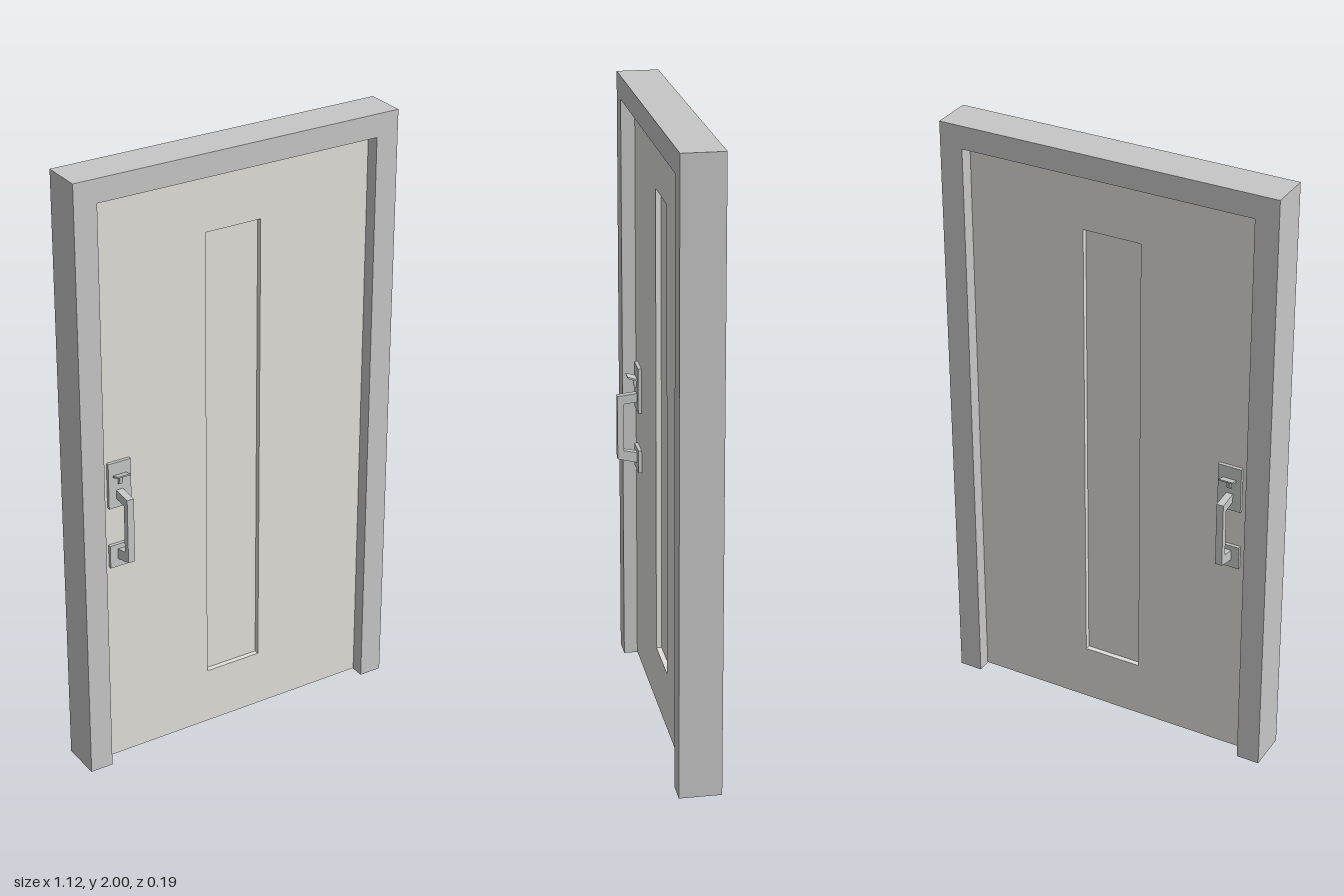
import * as THREE from 'three';

const frameMat = new THREE.MeshStandardMaterial({ name: 'frame grey', color: 0xc7c7c7 });
const doorMat = new THREE.MeshStandardMaterial({ name: 'door warm grey', color: 0xe0dfd8 });
const metalMat = new THREE.MeshStandardMaterial({ name: 'handle metal', color: 0xc6c8c8 });

const FRAME_HALF = 0.067; // half depth of the frame
const DOOR_HALF = 0.022;  // half thickness of the leaf
const HANDLE_X = -0.412;

const shapeOf = (pts) => new THREE.Shape(pts.map(([x, y]) => new THREE.Vector2(x, y)));

// Extrude a shape, centred in depth
function extrude(shape, depth) {
  return new THREE.ExtrudeGeometry(shape, { depth, bevelEnabled: false }).translate(0, 0, -depth / 2);
}

function add(parent, name, geometry, material) {
  const mesh = new THREE.Mesh(geometry, material);
  mesh.name = name;
  parent.add(mesh);
}

// Box given by its limits
function box(x0, x1, y0, y1, z0, z1) {
  return new THREE.BoxGeometry(x1 - x0, y1 - y0, Math.abs(z1 - z0))
    .translate((x0 + x1) / 2, (y0 + y1) / 2, (z0 + z1) / 2);
}

// Extrude a (z, y) profile across x; side mirrors it to the back
function sideProfile(pts, width, side) {
  return extrude(shapeOf(pts.map(([z, y]) => [z * side, y])), width)
    .rotateY(-Math.PI / 2)
    .translate(HANDLE_X, 0, 0);
}

function createHandle(side) {
  const handle = new THREE.Group();
  handle.name = side > 0 ? 'frontHandle' : 'backHandle';
  const z0 = DOOR_HALF * side;
  const z1 = (DOOR_HALF + 0.011) * side;
  add(handle, 'upperPlate', box(-0.45, -0.372, 0.908, 1.062, z0, z1), metalMat);
  add(handle, 'lowerPlate', box(-0.45, -0.372, 0.7, 0.778, z0, z1), metalMat);

  // Pull grip with slightly splayed arms
  add(handle, 'grip', sideProfile([
    [0.03, 0.726], [0.097, 0.743], [0.097, 0.961], [0.03, 0.968],
    [0.03, 0.938], [0.076, 0.933], [0.076, 0.771], [0.03, 0.761],
  ], 0.023, side), metalMat);

  // Thumb latch tilted up, with its short stem
  add(handle, 'thumbLatch', sideProfile([
    [0.03, 1.012], [0.064, 1.024], [0.064, 1.029], [0.03, 1.019],
  ], 0.046, side), metalMat);
  add(handle, 'latchStem', sideProfile([
    [0.03, 0.985], [0.04, 0.99], [0.046, 1.019], [0.03, 1.014],
  ], 0.012, side), metalMat);
  return handle;
}

export function createModel() {
  const model = new THREE.Group();
  model.name = 'door';

  // Frame open at the bottom
  add(model, 'frame', extrude(shapeOf([
    [-0.558, 0], [-0.482, 0], [-0.482, 1.925], [0.482, 1.925],
    [0.482, 0], [0.558, 0], [0.558, 2], [-0.558, 2],
  ]), FRAME_HALF * 2), frameMat);

  // Leaf with a tall panel recessed on both faces
  const leaf = shapeOf([[-0.482, 0.002], [0.482, 0.002], [0.482, 1.925], [-0.482, 1.925]]);
  leaf.holes.push(new THREE.Path([
    [-0.097, 0.195], [-0.097, 1.732], [0.097, 1.732], [0.097, 0.195],
  ].map(([x, y]) => new THREE.Vector2(x, y))));
  add(model, 'leaf', extrude(leaf, DOOR_HALF * 2), doorMat);
  add(model, 'insetPanel', box(-0.097, 0.097, 0.195, 1.732, -0.005, 0.005), doorMat);

  // Matching handles on both faces
  for (const side of [1, -1]) model.add(createHandle(side));
  return model;
}
